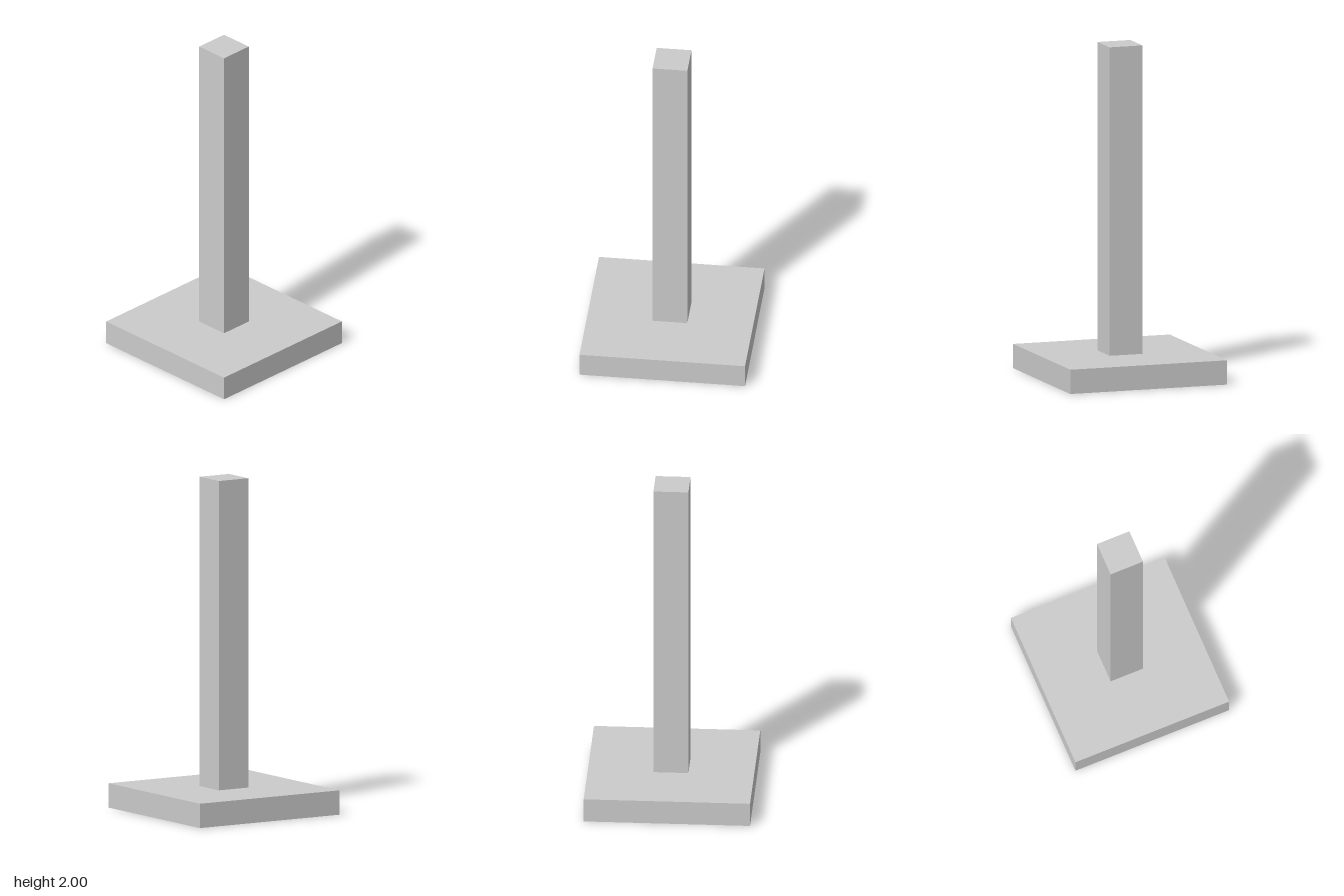
import * as THREE from 'three';

const BASE_WIDTH = 0.988;
const BASE_HEIGHT = 0.146;
const POST_WIDTH = 0.208;
const TOTAL_HEIGHT = 2;

export function createModel() {
  const model = new THREE.Group();
  model.name = 'postOnBase';
  const material = new THREE.MeshStandardMaterial({ color: 0xcccccc, flatShading: true });

  // Square block standing between two heights
  function addBlock(name, width, bottom, top) {
    const mesh = new THREE.Mesh(new THREE.BoxGeometry(width, top - bottom, width), material);
    mesh.name = name;
    mesh.position.y = (bottom + top) / 2;
    model.add(mesh);
  }

  addBlock('base', BASE_WIDTH, 0, BASE_HEIGHT);
  addBlock('post', POST_WIDTH, BASE_HEIGHT, TOTAL_HEIGHT);

  return model;
}
